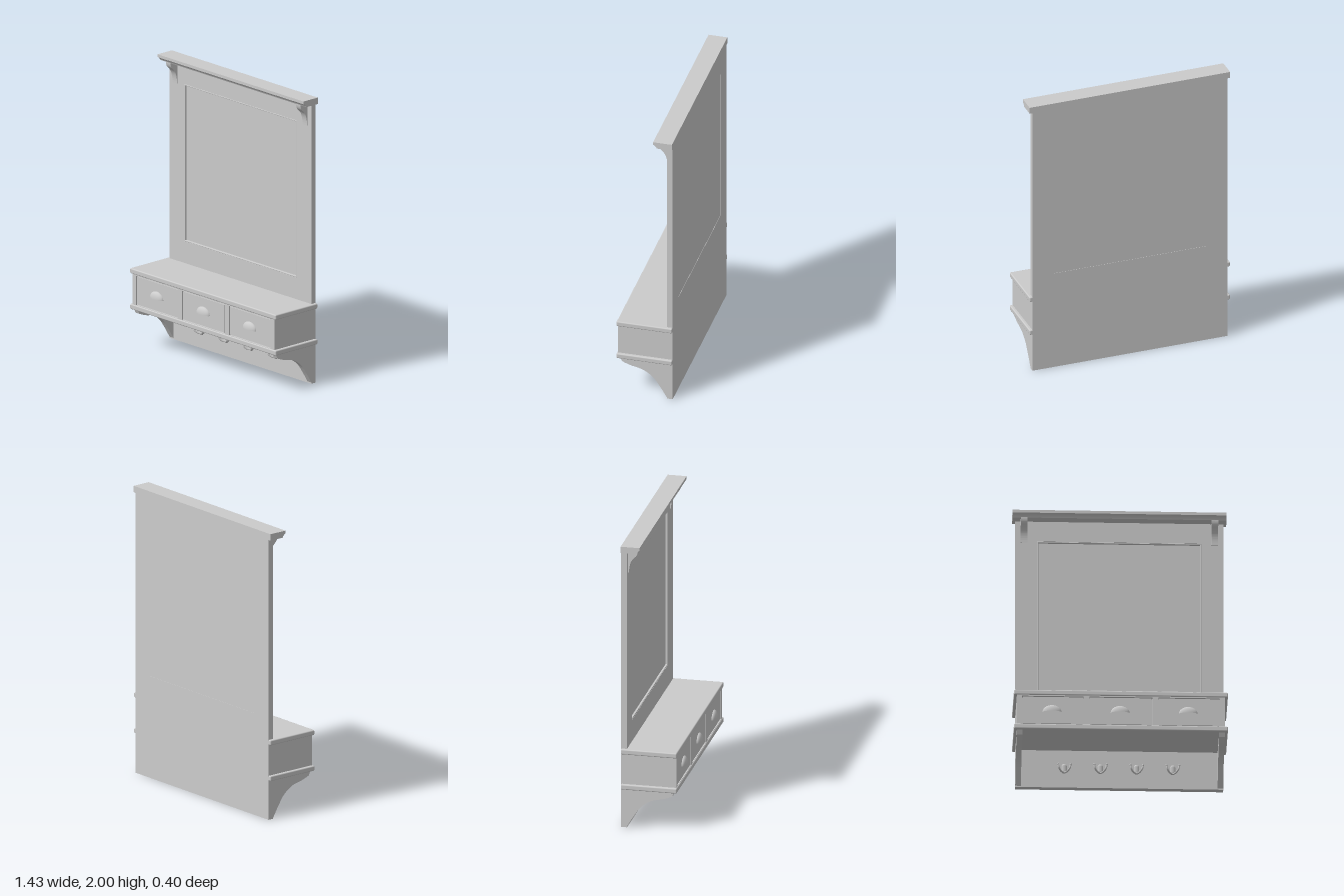
import * as THREE from 'three';
import { RoundedBoxGeometry } from 'three/addons/geometries/RoundedBoxGeometry.js';

const material = new THREE.MeshStandardMaterial({ color: 0xcccccc });
const doubleSided = new THREE.MeshStandardMaterial({ color: 0xcccccc, side: THREE.DoubleSide });

const BACK = -0.2;      // wall side
const PANEL = -0.16;    // front of the tall panel
const FACE = 0.178;     // front of the drawer case

export function createModel() {
  const model = new THREE.Group();
  model.name = 'wallShelfWithMirror';

  const add = (name, geometry, x = 0, y = 0, z = 0, parent = model, mat = material) => {
    const mesh = new THREE.Mesh(geometry, mat);
    mesh.name = name;
    mesh.position.set(x, y, z);
    parent.add(mesh);
    return mesh;
  };

  // Box given by its limits
  const box = (name, x0, x1, y0, y1, z0, z1) =>
    add(name, new THREE.BoxGeometry(x1 - x0, y1 - y0, z1 - z0),
      (x0 + x1) / 2, (y0 + y1) / 2, (z0 + z1) / 2);

  const rectangle = (Type, x0, x1, y0, y1) => new Type([
    new THREE.Vector2(x0, y0), new THREE.Vector2(x1, y0),
    new THREE.Vector2(x1, y1), new THREE.Vector2(x0, y1)]);

  // Side profile in (z, y), extruded along x and centred on it
  const sideExtrude = (shape, width) => {
    const g = new THREE.ExtrudeGeometry(shape, { depth: width, bevelEnabled: false, curveSegments: 12 });
    g.rotateY(-Math.PI / 2);
    g.translate(width / 2, 0, 0);
    return g;
  };

  // Tall panel with an opening for the mirror
  const panel = rectangle(THREE.Shape, -0.695, 0.695, 0, 1.97);
  panel.holes.push(rectangle(THREE.Path, -0.55, 0.55, 0.71, 1.81));
  add('backPanel', new THREE.ExtrudeGeometry(panel, { depth: PANEL - BACK, bevelEnabled: false }), 0, 0, BACK);
  box('mirror', -0.55, 0.55, 0.71, 1.81, BACK + 0.002, PANEL - 0.014);

  // Thin bevelled moulding round the mirror
  const rim = rectangle(THREE.Shape, -0.55, 0.55, 0.71, 1.81);
  rim.holes.push(rectangle(THREE.Path, -0.541, 0.541, 0.719, 1.801));
  add('mirrorMoulding', new THREE.ExtrudeGeometry(rim, {
    depth: 0.012, bevelThickness: 0.003, bevelSize: 0.003, bevelOffset: -0.003, bevelSegments: 2,
  }), 0, 0, PANEL - 0.015);

  // Cornice with a stepped, sloping front
  const cornice = new THREE.Shape();
  cornice.moveTo(BACK, 1.955);
  cornice.lineTo(-0.095, 1.955);
  cornice.quadraticCurveTo(-0.088, 1.972, -0.07, 1.98);
  cornice.lineTo(-0.07, 2);
  cornice.lineTo(BACK, 2);
  add('cornice', sideExtrude(cornice, 1.43));

  // Small brackets under the cornice
  const upper = new THREE.Shape();
  upper.moveTo(PANEL - 0.005, 1.96);
  upper.lineTo(PANEL - 0.005, 1.8);
  upper.lineTo(-0.154, 1.8);
  upper.bezierCurveTo(-0.153, 1.87, -0.135, 1.89, -0.115, 1.91);
  upper.quadraticCurveTo(-0.094, 1.925, -0.094, 1.96);

  // Large curved brackets under the drawer case
  const lower = new THREE.Shape();
  lower.moveTo(PANEL - 0.005, 0.275);
  lower.lineTo(PANEL - 0.005, 0);
  lower.splineThru([[-0.153, 0.02], [-0.11, 0.09], [-0.063, 0.153], [0.005, 0.199], [0.095, 0.222], [0.15, 0.243]]
    .map(p => new THREE.Vector2(...p)));
  lower.lineTo(0.163, 0.275);
  for (const side of [-1, 1]) {
    const label = side > 0 ? 'left' : 'right';
    add(label + 'CorniceBracket', sideExtrude(upper, 0.045), side * 0.637);
    add(label + 'LowerBracket', sideExtrude(lower, 0.038), side * 0.676);
  }

  // Drawer case: shelf, base board, carcass and front frame
  const board = (name, y0, y1) => add(name,
    new RoundedBoxGeometry(1.43, y1 - y0, 0.184 - BACK, 2, 0.008), 0, (y0 + y1) / 2, (0.184 + BACK) / 2);
  board('shelf', 0.522, 0.558);
  board('baseBoard', 0.272, 0.308);
  box('drawerCase', -0.695, 0.695, 0.29, 0.54, BACK, 0.15);

  const drawers = [[-0.66, -0.25], [-0.21, 0.21], [0.25, 0.66]];
  const frame = rectangle(THREE.Shape, -0.695, 0.695, 0.29, 0.54);
  for (const [x0, x1] of drawers) frame.holes.push(rectangle(THREE.Path, x0, x1, 0.31, 0.515));
  add('drawerFrame', new THREE.ExtrudeGeometry(frame, { depth: FACE - 0.15, bevelEnabled: false }), 0, 0, 0.15);

  // Drawer fronts with half-dome cup pulls
  const pull = new THREE.SphereGeometry(1, 24, 12, 0, Math.PI, 0, Math.PI / 2);
  pull.scale(0.064, 0.052, 0.029);
  drawers.forEach(([x0, x1], i) => {
    const x = (x0 + x1) / 2;
    box('drawerFront' + (i + 1), x0 + 0.005, x1 - 0.005, 0.315, 0.51, 0.14, FACE - 0.004);
    add('cupPull' + (i + 1), pull, x - 0.005, 0.398, FACE - 0.006, model, doubleSided);
  });

  // Double coat hooks
  const prongs = new THREE.TubeGeometry(new THREE.CatmullRomCurve3([
    [-0.042, 0.02, 0.04], [-0.036, -0.008, 0.04], [-0.018, -0.026, 0.022], [0, -0.028, 0.008],
    [0.018, -0.026, 0.022], [0.036, -0.008, 0.04], [0.042, 0.02, 0.04],
  ].map(p => new THREE.Vector3(...p))), 28, 0.006, 8);
  const stem = new THREE.CapsuleGeometry(0.018, 0.035, 6, 12);
  stem.scale(1, 1, 0.6);
  const tip = new THREE.SphereGeometry(0.008, 10, 8);
  [-0.368, -0.127, 0.115, 0.357].forEach((x, i) => {
    const hook = new THREE.Group();
    hook.name = 'coatHook' + (i + 1);
    hook.position.set(x, 0.135, PANEL);
    add('hookStem', stem, 0, 0.003, 0, hook);
    add('hookProngs', prongs, 0, 0, 0, hook);
    for (const s of [-1, 1]) add('hookTip', tip, s * 0.042, 0.02, 0.04, hook);
    model.add(hook);
  });

  return model;
}
